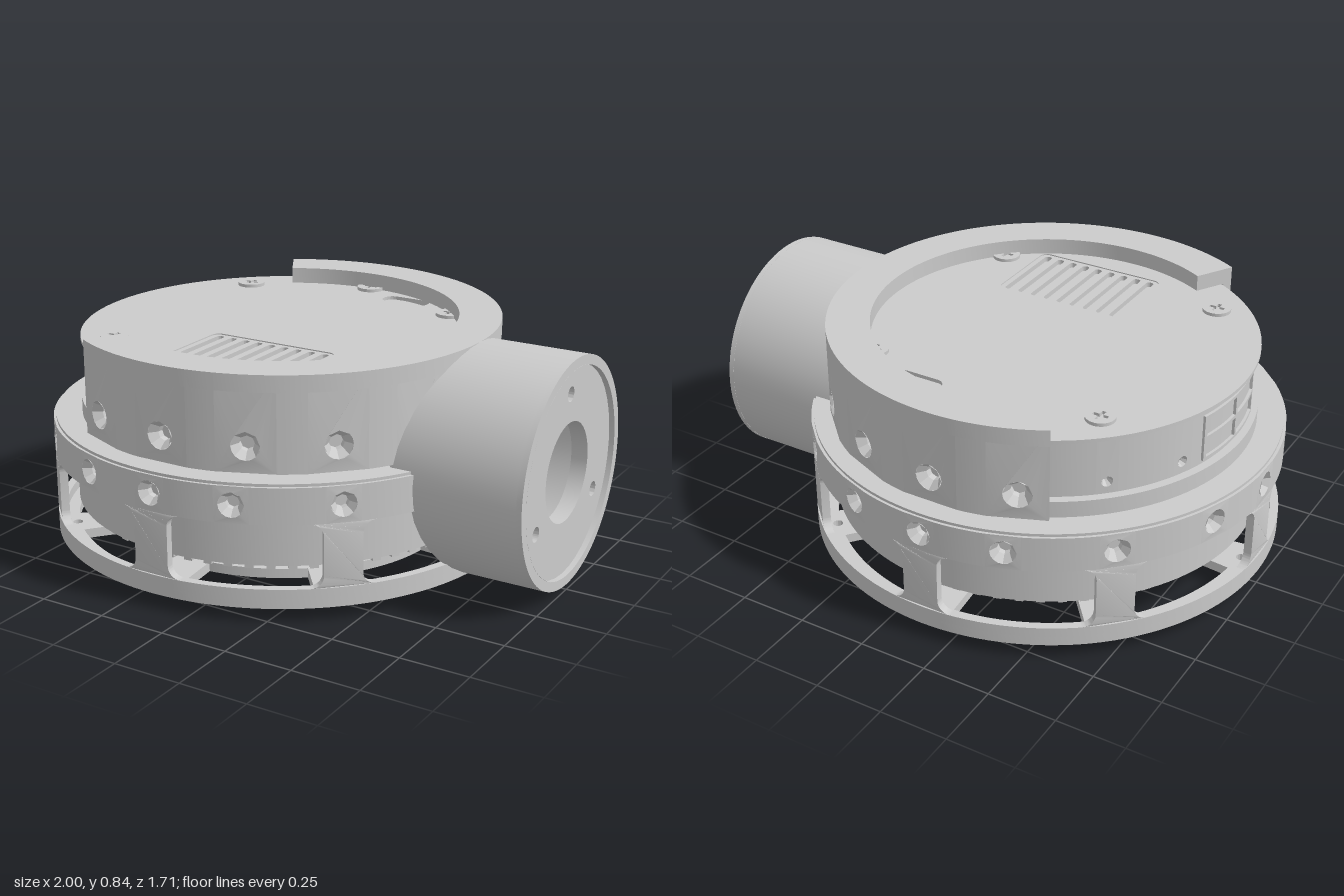
import * as THREE from 'three';
import { toCreasedNormals } from 'three/addons/utils/BufferGeometryUtils.js';

const D = Math.PI / 180;
const grey = new THREE.MeshStandardMaterial({ color: 0xcccccc, side: THREE.DoubleSide });

function add(parent, name, geo, crease = 0.5) {
  const mesh = new THREE.Mesh(toCreasedNormals(geo, crease), grey);
  mesh.name = name;
  parent.add(mesh);
  return mesh;
}
function group(parent, name) {
  const g = new THREE.Group();
  g.name = name;
  parent.add(g);
  return g;
}
const circle = (x, y, r) => new THREE.Path().absarc(x, y, r, 0, Math.PI * 2);
const polar = (r, deg) => [r * Math.cos(deg * D), r * Math.sin(deg * D)];

function roundRect(x0, y0, x1, y1, r) {
  return new THREE.Shape()
    .absarc(x1 - r, y0 + r, r, -Math.PI / 2, 0)
    .absarc(x1 - r, y1 - r, r, 0, Math.PI / 2)
    .absarc(x0 + r, y1 - r, r, Math.PI / 2, Math.PI)
    .absarc(x0 + r, y0 + r, r, Math.PI, Math.PI * 1.5);
}
// Plan outline of part of an annulus, angles in degrees from +x towards -z
function sector(r0, r1, a0, a1) {
  return new THREE.Shape()
    .absarc(0, 0, r1, a0 * D, a1 * D, false)
    .absarc(0, 0, r0, a1 * D, a0 * D, true);
}
function ring(r0, r1) {
  const s = new THREE.Shape().absarc(0, 0, r1, 0, Math.PI * 2);
  if (r0 > 0) s.holes.push(circle(0, 0, r0));
  return s;
}
// Plan outline raised from y0 to y1
function slab(shape, y0, y1, curveSegments = 64) {
  return new THREE.ExtrudeGeometry(shape, { depth: y1 - y0, bevelEnabled: false, curveSegments })
    .rotateX(-Math.PI / 2).translate(0, y0, 0);
}
// Flat elevation bent around the main axis at angle a
function bent(shape, r0, r1, a, curveSegments = 8) {
  const geo = new THREE.ExtrudeGeometry(shape, { depth: r1 - r0, bevelEnabled: false, curveSegments });
  const p = geo.attributes.position;
  for (let i = 0; i < p.count; i++) {
    const t = a * D + p.getX(i) / r1, r = r0 + p.getZ(i);
    p.setXYZ(i, r * Math.cos(t), p.getY(i), -r * Math.sin(t));
  }
  return geo;
}
// Cylindrical wall with a countersunk bolt recess at each listed angle
function boltedBand(parent, name, { bolts, half, r0, r1, y0, y1, holeY, holeR, depth, closed }) {
  const g = group(parent, name);
  bolts.forEach((a, i) => {
    const w = half * D * r1;
    const patch = new THREE.Shape().moveTo(-w, y0).lineTo(w, y0).lineTo(w, y1).lineTo(-w, y1).closePath();
    patch.holes.push(circle(0, holeY, holeR));
    add(g, 'boltPad', bent(patch, r0, r1, a));
    const cone = [[0, -depth], [holeR * 0.5, -depth], [holeR * 0.55, -depth * 0.6], [holeR, 0]];
    add(g, 'boltRecess', new THREE.LatheGeometry(cone.map(c => new THREE.Vector2(...c)), 8)
      .rotateZ(-Math.PI / 2).translate(r1, holeY, 0).rotateY(a * D), 0.3);
    const next = i + 1 < bolts.length ? bolts[i + 1] : closed ? bolts[0] + 360 : null;
    if (next !== null && next - a > 2 * half + 0.01) {
      const seg = Math.ceil((next - a - 2 * half) / 4);
      add(g, 'wall', slab(sector(r0, r1, a + half, next - half), y0, y1, seg));
    }
  });
}

// Lower cage: bolted top band, pillars, slotted floor
function buildCage(root) {
  const cage = group(root, 'lowerCage');
  const R = 0.855, r = 0.825;
  const bolts = [0, 90, 180, 270].flatMap(q => [0, 20, 45, 70].map(a => q + a));
  boltedBand(cage, 'cageBand', { bolts, half: 4, r0: r, r1: R, y0: 0.35, y1: 0.48,
    holeY: 0.415, holeR: 0.045, depth: 0.045, closed: true });
  add(cage, 'cageTop', slab(ring(0.7, 0.845), 0.475, 0.49));
  add(cage, 'cageFoot', slab(ring(r, R), 0.06, 0.12));

  // Pillars flare into the bands with rounded corners
  const w = 0.067, f = 0.045, y0 = 0.12, y1 = 0.35, q = Math.PI / 2;
  const pillar = new THREE.Shape()
    .moveTo(-w - f, y0).lineTo(w + f, y0)
    .absarc(w + f, y0 + f, f, -q, -2 * q, true)
    .absarc(w + f, y1 - f, f, 2 * q, q, true)
    .lineTo(-w - f, y1)
    .absarc(-w - f, y1 - f, f, q, 0, true)
    .absarc(-w - f, y0 + f, f, 0, -q, true);
  const floor = ring(0.5, R);
  for (let a = 0; a < 360; a += 45) {
    add(cage, 'cagePillar', bent(pillar, r, R, a));
    floor.holes.push(sector(0.61, 0.78, a + 6, a + 39), circle(...polar(0.79, a), 0.018));
  }
  add(cage, 'cageFloor', slab(floor, 0.05, 0.085));
}

// Round hub under the cage with a blind bore
function buildHub(root) {
  const hub = group(root, 'bottomHub');
  const pts = [[0, 0.12], [0.16, 0.12], [0.16, 0.015], [0.52, 0.015], [0.535, 0.028], [0.535, 0.05]];
  add(hub, 'hubDisc', new THREE.LatheGeometry(pts.map(p => new THREE.Vector2(...p)), 64));
  const face = ring(0.16, 0.375);
  for (const a of [0, 120, 240]) face.holes.push(circle(...polar(0.28, a), 0.022));
  add(hub, 'hubFace', slab(face, 0, 0.015));
}

// Inner drum, its underside fins, and the upper housing
function buildBody(root) {
  const body = group(root, 'innerBody');
  add(body, 'lowerDrum', slab(ring(0, 0.775), 0.17, 0.48));
  for (let i = 0; i < 64; i++) {
    add(body, 'fin', new THREE.BoxGeometry(0.18, 0.025, 0.03)
      .translate(0.66, 0.16, 0).rotateY(i * Math.PI / 32));
  }
  add(body, 'housingBase', slab(ring(0.6, 0.75), 0.485, 0.55));
  boltedBand(body, 'housingWall', { bolts: [135, 157.5, 202.5, 225], half: 3, r0: 0.69, r1: 0.72,
    y0: 0.5, y1: 0.77, holeY: 0.595, holeR: 0.02, depth: 0.03, closed: true });

  // Two by two panel on the exposed side
  const panel = group(body, 'sidePanel');
  for (const y of [0.57, 0.65, 0.73]) {
    add(panel, 'panelBar', slab(sector(0.71, 0.73, 165, 195), y - 0.006, y + 0.006, 10));
  }
  for (const a of [165, 180, 195]) {
    add(panel, 'panelBar', slab(sector(0.71, 0.73, a - 0.5, a + 0.5), 0.564, 0.736, 2));
  }
}

// Lid with grille, cable slot and cross-head screws
function buildLid(root) {
  const lid = group(root, 'lid');
  const plate = ring(0, 0.745);
  plate.holes.push(roundRect(0.11, 0.5, 0.3, 0.58, 0.035), roundRect(-0.17, -0.545, 0.335, -0.2, 0.03));
  add(lid, 'lidPlate', slab(plate, 0.765, 0.778));
  add(lid, 'lidUnderside', slab(ring(0, 0.7), 0.72, 0.735));
  const grille = roundRect(-0.17, -0.545, 0.335, -0.2, 0.03);
  for (let i = 0; i < 9; i++) {
    const x = -0.135 + i * 0.0545;
    grille.holes.push(roundRect(x - 0.014, -0.53, x + 0.014, -0.215, 0.012));
  }
  add(lid, 'ventGrille', slab(grille, 0.755, 0.774, 6));
  for (const a of [45, 90, 135, 225, 315]) {
    const [x, y] = polar(0.627, a), s = 0.007, l = 0.028;
    const head = new THREE.Shape().absarc(0, 0, 0.052, 0, Math.PI * 2);
    const cross = [[s, s], [s, l], [-s, l], [-s, s], [-l, s], [-l, -s], [-s, -s], [-s, -l], [s, -l], [s, -s], [l, -s], [l, s]];
    head.holes.push(new THREE.Path(cross.map(c => new THREE.Vector2(...c))));
    add(lid, 'lidScrew', slab(head, 0.776, 0.79, 24).translate(x, 0, -y));
  }
}

// Open collar round the housing with an inward top flange
function buildCollar(root) {
  const collar = group(root, 'collar');
  const bolts = Array.from({ length: 11 }, (_, i) => (i - 5) * 22.5);
  boltedBand(collar, 'collarWall', { bolts, half: 7.5, r0: 0.75, r1: 0.785, y0: 0.5, y1: 0.84,
    holeY: 0.595, holeR: 0.05, depth: 0.05, closed: false });
  add(collar, 'collarFlange', slab(sector(0.63, 0.785, -120, 120), 0.78, 0.84, 64));
}

// Side tube whose inner end follows the round walls
function buildTube(root) {
  const tube = group(root, 'sideTube');
  tube.position.y = 0.43;
  const end = 1.145;
  for (const [name, r] of [['tubeOuter', 0.41], ['tubeInner', 0.375]]) {
    const geo = new THREE.CylinderGeometry(r, r, 2, 40, 1, true).rotateZ(-Math.PI / 2);
    const p = geo.attributes.position;
    for (let i = 0; i < p.count; i++) {
      const wall = p.getY(i) > 0.06 ? 0.775 : 0.845;
      p.setX(i, p.getX(i) > 0 ? end : Math.sqrt(wall * wall - p.getZ(i) ** 2));
    }
    add(tube, name, geo);
  }
  const disc = (shape, depth, x) =>
    new THREE.ExtrudeGeometry(shape, { depth, bevelEnabled: false, curveSegments: 40 })
      .rotateY(Math.PI / 2).translate(x, 0, 0);
  add(tube, 'tubeRim', disc(ring(0.375, 0.41), 0.02, end - 0.02));
  const plate = ring(0.178, 0.376);
  for (const a of [90, 210, 330]) plate.holes.push(circle(...polar(0.28, a), 0.027));
  add(tube, 'tubeEndPlate', disc(plate, 0.06, end - 0.08));
}

export function createModel() {
  const model = new THREE.Group();
  model.name = 'model';
  const root = group(model, 'assembly');
  root.position.x = -0.145;
  [buildCage, buildHub, buildBody, buildLid, buildCollar, buildTube].forEach(build => build(root));
  return model;
}
